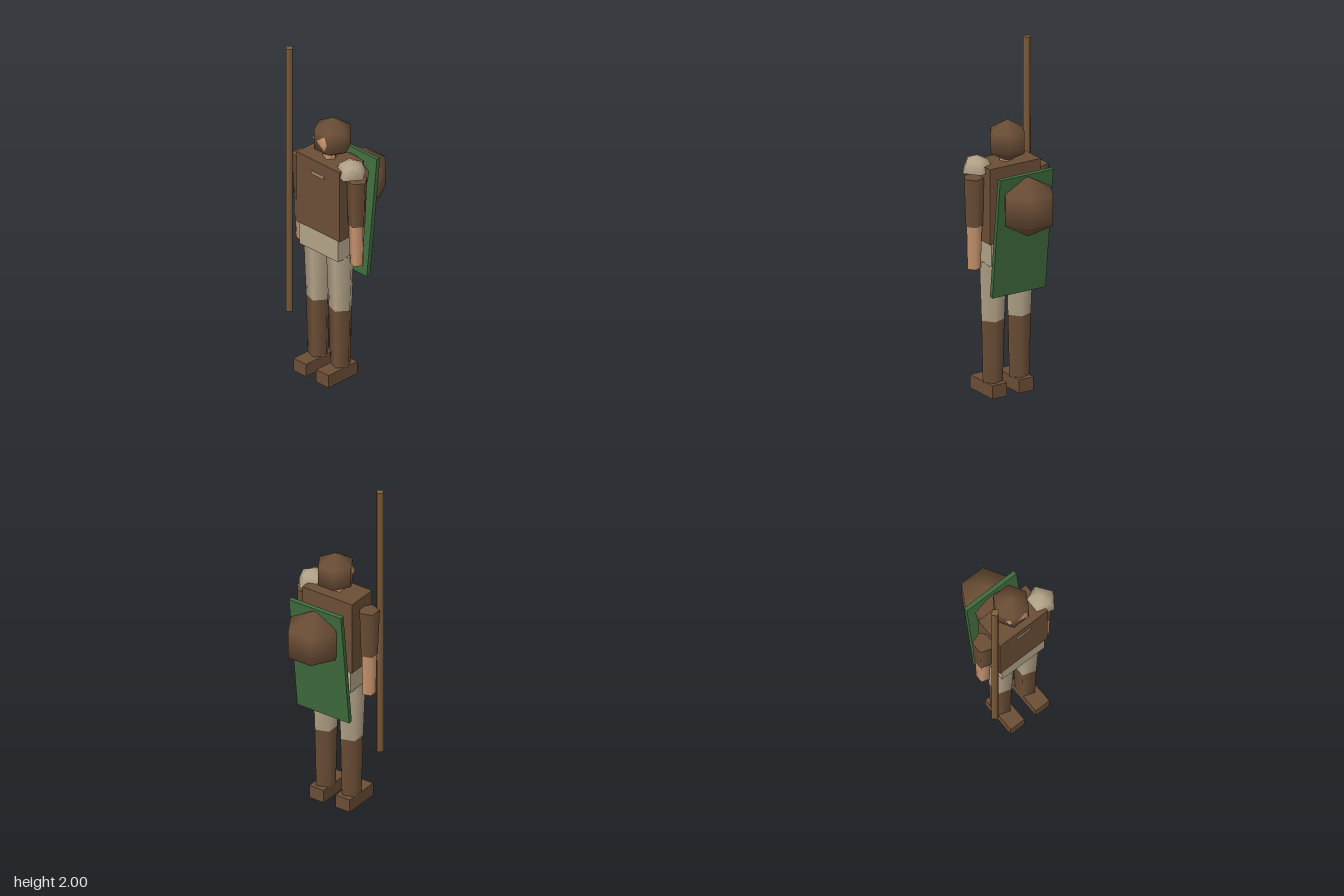
import * as THREE from 'three';

const paint = (name, color, side = THREE.FrontSide) => {
  const m = new THREE.MeshStandardMaterial({ color, side });
  m.name = name;
  return m;
};

export function createModel() {
  const leather = paint('leather brown', 0x6b4e36);
  const wood = paint('staff wood', 0x7f5e3c);
  const cloth = paint('beige cloth', 0xb3a388, THREE.DoubleSide);
  const skin = paint('skin', 0xc8956e);
  const green = paint('board green', 0x3f6b3d);

  const model = new THREE.Group();
  model.name = 'traveller';
  const cx = -0.007; // body axis
  const cz = 0.106;

  const add = (name, geometry, material, x, y, z) => {
    const mesh = new THREE.Mesh(geometry, material);
    mesh.name = name;
    mesh.position.set(x, y, z);
    model.add(mesh);
    return mesh;
  };
  const box = (name, mat, w, h, d, x, y, z) =>
    add(name, new THREE.BoxGeometry(w, h, d), mat, x, y, z);
  // five-sided tapered limb between two heights, one corner pointing to +x
  const limb = (name, mat, rTop, rBottom, yTop, yBottom, x, z = cz) =>
    add(name, new THREE.CylinderGeometry(rTop, rBottom, yTop - yBottom, 5, 1, false, Math.PI / 2),
      mat, x, (yTop + yBottom) / 2, z);

  // torso and hips
  box('torso', leather, 0.335, 0.44, 0.192, cx, 1.135, 0.104);
  box('hips', cloth, 0.3, 0.137, 0.176, cx, 0.847, cz);
  box('chestClasp', cloth, 0.1, 0.015, 0.008, cx, 1.275, 0.202);

  // legs and arms
  for (const [side, s] of [['left', 1], ['right', -1]]) {
    const legX = cx + s * 0.087;
    limb(side + 'Thigh', cloth, 0.082, 0.069, 0.785, 0.44, legX, 0.109);
    limb(side + 'Boot', leather, 0.069, 0.06, 0.44, 0.074, legX, 0.109);
    box(side + 'Foot', leather, 0.096, 0.078, 0.224, cx + s * 0.088, 0.039, 0.142);

    const armX = cx + s * 0.21;
    limb(side + 'Sleeve', leather, 0.062, 0.051, 1.29, 1.01, armX);
    limb(side + 'Forearm', skin, 0.046, 0.04, 1.012, 0.76, armX);
  }

  // neck, head and hood; the face shows where the head pokes through the hood
  limb('neck', skin, 0.041, 0.041, 1.42, 1.34, cx);
  const head = add('head', new THREE.SphereGeometry(0.097, 5, 4), skin, cx, 1.468, cz);
  head.rotation.y = Math.PI / 2 + THREE.MathUtils.degToRad(20.6);
  // turn one equator corner to 20.6 degrees left of straight ahead
  add('hood', new THREE.SphereGeometry(0.122, 6, 3), leather, cx, 1.472, 0.087);

  // dome pad on the left shoulder
  const pad = add('shoulderPad', new THREE.SphereGeometry(0.092, 5, 2, 0, Math.PI * 2, 0, Math.PI / 2),
    cloth, 0.173, 1.32, 0.122);
  pad.rotation.y = Math.PI;

  // board leaning against the back, with a round pack through it
  const board = box('backBoard', green, 0.35, 0.716, 0.025, cx, 0.972, -0.056);
  board.rotation.x = -0.11;
  add('backpack', new THREE.SphereGeometry(0.175, 6, 3), leather, cx, 1.147, -0.123);

  // staff
  add('staff', new THREE.CylinderGeometry(0.026, 0.026, 1.663, 4), wood, -0.219, 1.1685, 0.211);

  return model;
}
